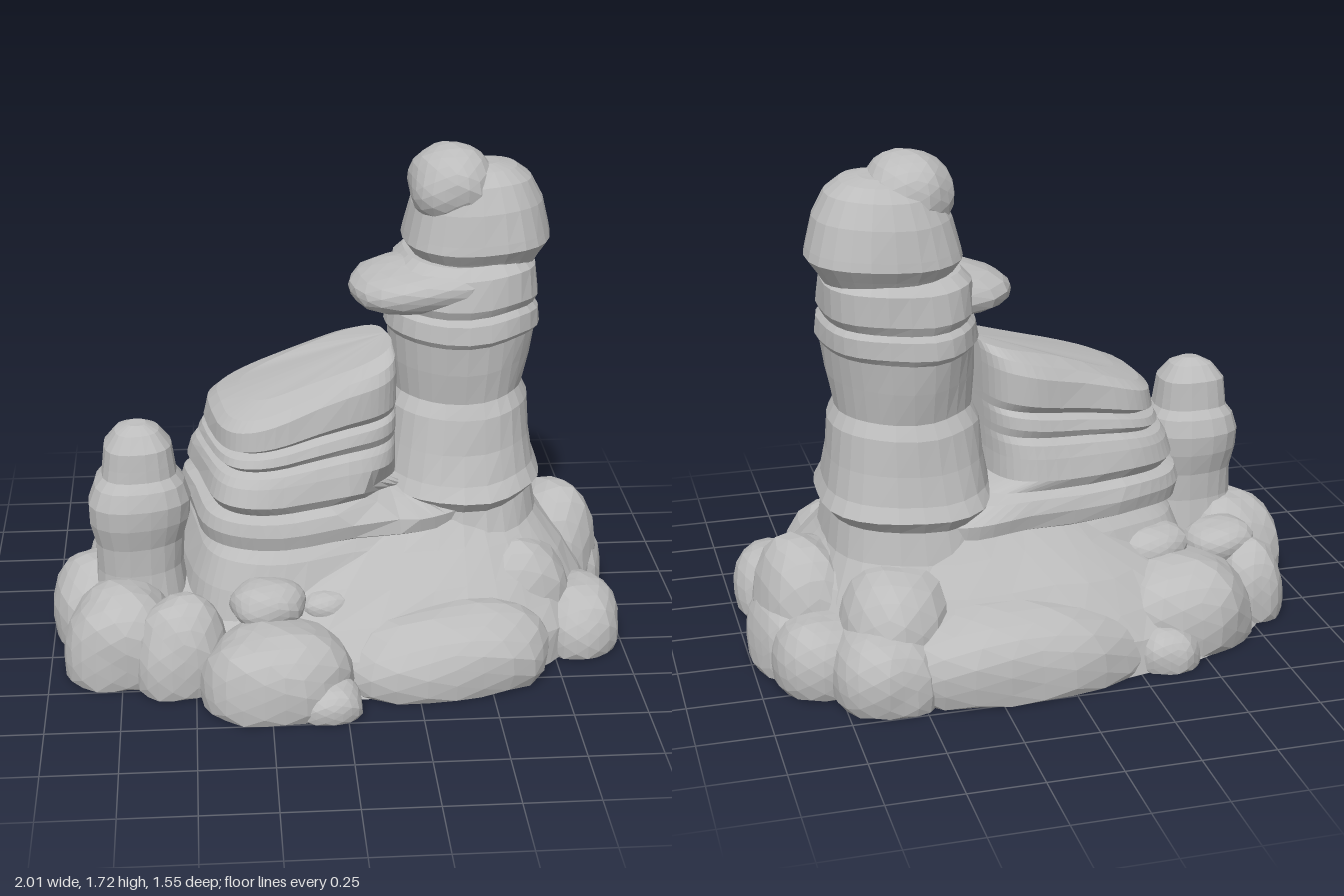
import * as THREE from 'three';

const stone = new THREE.MeshStandardMaterial({ color: 0xbcbcbc, flatShading: true });
stone.name = 'grey stone';

// Gentle repeatable unevenness, about -1..1
const bump = (x, y, z) =>
  (Math.sin(x * 9 + y * 5 + 1) + Math.sin(z * 11 - y * 7 + 2) + Math.sin((x - z) * 14 + y * 9)) / 3;

function addMesh(group, name, geometry) {
  const mesh = new THREE.Mesh(geometry, stone);
  mesh.name = name;
  group.add(mesh);
}

// Stack of rounded-rectangle rings. The profile lists [height, radius];
// section turns each pair into a centre, half widths and slope.
function strata(profile, section, { power = 2.4, sides = 28, rough = 0.016, yaw = 0, shape } = {}) {
  const pos = [], index = [];
  const spin = new THREE.Vector3(0, 1, 0), p = new THREE.Vector3();
  const round = v => Math.sign(v) * Math.abs(v) ** (2 / power);
  const push = (cx, cz, dx, y, dz) => {
    p.set(dx, 0, dz).applyAxisAngle(spin, yaw);
    p.set(cx + p.x, Math.max(y, 0.005), cz + p.z);
    if (shape) shape(p);
    pos.push(p.x, p.y, p.z);
  };
  for (const [y, r] of profile) {
    const { cx, cz, hx, hz, tilt = 0, shift = 0 } = section(y, r);
    for (let j = 0; j < sides; j++) {
      const a = (j / sides) * Math.PI * 2;
      const dx = shift + round(Math.cos(a)) * hx, dz = round(Math.sin(a)) * hz;
      const n = bump(cx + dx, y, cz + dz) * rough;
      const wave = bump(cx + dx, 0, cz + dz) * rough;
      push(cx, cz, dx + n * Math.cos(a), y + tilt * dx + wave, dz + n * Math.sin(a));
    }
  }
  const last = (profile.length - 1) * sides;
  for (let a = 0; a < last; a++) {
    const b = a % sides === sides - 1 ? a + 1 - sides : a + 1;
    index.push(a, a + sides, b, b, a + sides, b + sides);
  }
  // End caps as fans
  for (let j = 1; j < sides - 1; j++) {
    index.push(0, j, j + 1, last, last + j + 1, last + j);
  }
  const g = new THREE.BufferGeometry();
  g.setAttribute('position', new THREE.Float32BufferAttribute(pos, 3));
  g.setIndex(index);
  g.computeVertexNormals();
  return g;
}

// Faceted rock, cut flat at the ground
function rock(x, y, z, rx, ry, rz, yaw = 0, lean = 0) {
  const g = new THREE.IcosahedronGeometry(1, 3);
  const p = g.attributes.position, v = new THREE.Vector3();
  const c = Math.cos(yaw), s = Math.sin(yaw), power = 2.3;
  for (let i = 0; i < p.count; i++) {
    v.fromBufferAttribute(p, i);
    const norm = (Math.abs(v.x) ** power + Math.abs(v.y) ** power + Math.abs(v.z) ** power) ** (1 / power);
    v.multiplyScalar((1 + 0.06 * bump(v.x * 0.4 + x * 3, v.y * 0.4, v.z * 0.4 + z * 3)) / norm);
    const dx = v.x * rx, dz = v.z * rz;
    p.setXYZ(i, x + dx * c + dz * s, Math.max(0.005, y + v.y * ry + lean * dx), z - dx * s + dz * c);
  }
  g.computeVertexNormals();
  return g;
}

export function createModel() {
  const group = new THREE.Group();
  group.name = 'rockFormation';

  // Sloping ground mass that ties everything together
  addMesh(group, 'mound', strata(
    [[0, 0.88], [0.12, 0.84], [0.2, 0.76], [0.3, 0.65], [0.4, 0.52], [0.48, 0.42]],
    (y, r) => ({ cx: 0.02 + 0.5 * y, cz: -0.04 - 0.12 * y, hx: r, hz: r * 0.73 }),
    { power: 2.4, sides: 36 }));

  // Layered mesa with sloping upper beds, hollowed by a small cave at the front
  const cave = new THREE.Vector3(0.2, 0.58, 0.27);
  addMesh(group, 'mesa', strata(
    [[0.1, 0.42], [0.3, 0.38], [0.4, 0.34], [0.44, 0.31], [0.46, 0.35], [0.51, 0.36], [0.555, 0.345],
      [0.575, 0.31], [0.61, 0.33], [0.68, 0.315], [0.72, 0.3], [0.74, 0.275], [0.765, 0.29], [0.8, 0.28],
      [0.815, 0.25], [0.84, 0.275], [0.93, 0.265], [0.965, 0.235], [0.985, 0.16]],
    (y, r) => {
      const x0 = -r - 0.11, x1 = 0.24 + 0.28 * (1 - THREE.MathUtils.smoothstep(y, 0.5, 0.62));
      return {
        cx: -0.05, cz: -0.03, hx: (x1 - x0) / 2, shift: (x0 + x1) / 2, hz: r,
        tilt: Math.max(0, y - 0.65) * 0.9,
      };
    },
    {
      power: 3.8, sides: 48, yaw: 0.2, rough: 0.012,
      shape: p => {
        const d = Math.hypot((p.x - cave.x) / 0.13, (p.y - cave.y) / 0.08, (p.z - cave.z) / 0.25);
        if (d < 1) p.z -= 0.1 * (1 - d * d);
      },
    }));

  // Tall banded tower with a domed cap, knob and overhanging ledge
  addMesh(group, 'tower', strata(
    [[0.15, 0.42], [0.28, 0.36], [0.4, 0.3], [0.51, 0.28], [0.55, 0.31], [0.6, 0.285], [0.7, 0.265],
      [0.82, 0.25], [0.87, 0.225], [0.98, 0.24], [1.08, 0.25], [1.1, 0.265], [1.16, 0.26], [1.18, 0.245],
      [1.21, 0.26], [1.31, 0.25], [1.345, 0.215]],
    (y, r) => ({ cx: 0.42 + 0.03 * y, cz: -0.1 - 0.035 * y, hx: r, hz: r * (1.19 - 0.15 * y) })));
  addMesh(group, 'towerCap', strata(
    [[1.3, 0.2], [1.35, 0.23], [1.39, 0.257], [1.42, 0.25], [1.52, 0.223], [1.6, 0.18], [1.64, 0.13], [1.655, 0.07]],
    (y, r) => ({ cx: 0.5, cz: -0.155, hx: r, hz: r * 0.94, tilt: 0.02 }),
    { sides: 24, rough: 0.01 }));
  addMesh(group, 'towerKnob', rock(0.41, 1.585, -0.135, 0.145, 0.13, 0.175));
  addMesh(group, 'towerLedge', rock(0.35, 1.255, -0.1, 0.29, 0.09, 0.225, 0.15, 0.1));

  // Buttresses sloping down from the tower foot
  addMesh(group, 'backButtress', rock(0.53, 0.16, -0.41, 0.2, 0.25, 0.26, -0.3));
  addMesh(group, 'frontButtress', rock(0.6, 0.14, 0.17, 0.22, 0.25, 0.18));

  // Small standing pillar
  addMesh(group, 'pillar', strata(
    [[0.15, 0.17], [0.32, 0.145], [0.42, 0.15], [0.5, 0.172], [0.57, 0.178], [0.63, 0.16], [0.66, 0.135],
      [0.7, 0.13], [0.76, 0.122], [0.81, 0.08], [0.83, 0.035]],
    (y, r) => ({ cx: -0.68, cz: 0.125, hx: r, hz: r * 0.92 }),
    { sides: 18, rough: 0.012 }));

  // Boulders on the ground: x, z, half width, half depth, height
  const boulders = [
    [0.35, 0.45, 0.36, 0.2, 0.26], [-0.23, 0.56, 0.26, 0.21, 0.27], [-0.06, 0.67, 0.11, 0.1, 0.12],
    [-0.55, 0.43, 0.16, 0.15, 0.32], [-0.75, 0.33, 0.2, 0.19, 0.32], [-0.82, 0.06, 0.18, 0.2, 0.32],
    [-0.76, -0.27, 0.13, 0.15, 0.28], [-0.46, -0.41, 0.27, 0.21, 0.31], [-0.36, -0.6, 0.11, 0.1, 0.14],
    [0.14, -0.56, 0.43, 0.22, 0.28], [0.6, -0.58, 0.18, 0.19, 0.26], [0.8, -0.19, 0.17, 0.22, 0.43],
    [0.88, -0.22, 0.12, 0.2, 0.26], [0.78, -0.42, 0.17, 0.17, 0.25], [0.84, 0.21, 0.15, 0.19, 0.23],
  ];
  boulders.forEach(([x, z, rx, rz, h], i) =>
    addMesh(group, 'boulder' + (i + 1), rock(x, h * 0.27, z, rx, h * 0.73, rz, 0.1, 0.05)));

  // Smaller stones resting higher up: x, y, z, radius
  const stones = [
    [-0.25, 0.28, 0.4, 0.13], [-0.05, 0.25, 0.37, 0.09], [-0.68, 0.26, -0.22, 0.13],
    [-0.4, 0.3, -0.28, 0.13], [-0.22, 0.3, -0.36, 0.08],
  ];
  stones.forEach(([x, y, z, r], i) =>
    addMesh(group, 'restingStone' + (i + 1), rock(x, y, z, r, r * 0.6, r * 0.85, 0.3)));
  return group;
}
